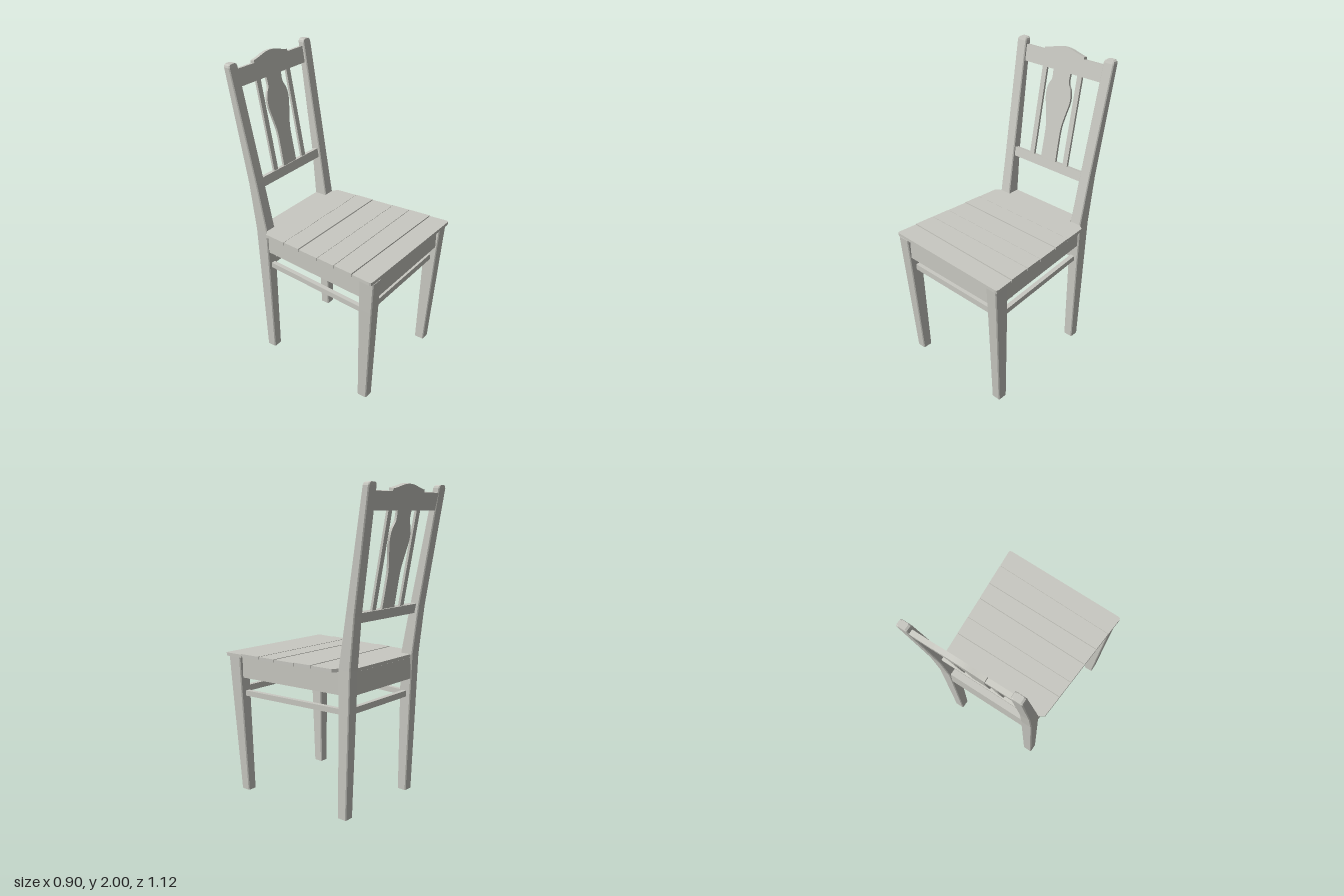
import * as THREE from 'three';

const paint = new THREE.MeshStandardMaterial({ color: 0xc9c9c2 });
paint.name = 'greyPaint';
const wood = new THREE.MeshStandardMaterial({ color: 0x6b4a2d });
wood.name = 'bareWood';

// Chamfered square post through sections [y, x0, x1, z0, z1]; side = 1 or -1 mirrors it in x
function post(name, sections, side) {
  const c = 0.006, n = 8, pos = [], index = [];
  for (const [y, a, b, z0, z1] of sections) {
    const x0 = Math.min(a * side, b * side), x1 = Math.max(a * side, b * side);
    const ring = [[x0 + c, z1], [x1 - c, z1], [x1, z1 - c], [x1, z0 + c],
      [x1 - c, z0], [x0 + c, z0], [x0, z0 + c], [x0, z1 - c]];
    for (const [x, z] of ring) pos.push(x, y, z);
  }
  const last = (sections.length - 1) * n;
  for (let s = 0; s < last; s += n) {
    for (let i = 0; i < n; i++) {
      const j = (i + 1) % n;
      index.push(s + i, s + j, s + n + j, s + i, s + n + j, s + n + i);
    }
  }
  for (let i = 1; i < n - 1; i++) index.push(last, last + i, last + i + 1);
  const painted = index.length;
  for (let i = 1; i < n - 1; i++) index.push(0, i + 1, i);
  let geo = new THREE.BufferGeometry();
  geo.setAttribute('position', new THREE.Float32BufferAttribute(pos, 3));
  geo.setIndex(index);
  geo = geo.toNonIndexed();
  geo.computeVertexNormals();
  geo.addGroup(0, painted, 0);
  geo.addGroup(painted, index.length - painted, 1); // unpainted foot
  const mesh = new THREE.Mesh(geo, [paint, wood]);
  mesh.name = name;
  return mesh;
}

// Straight bar between two [x, z] points, between heights y0 and y1
function bar(name, a, b, y0, y1, thick, bareInside = false) {
  const len = Math.hypot(b[0] - a[0], b[1] - a[1]);
  const mats = [bareInside ? wood : paint, paint, paint, paint, paint, paint];
  const mesh = new THREE.Mesh(new THREE.BoxGeometry(thick, y1 - y0, len), bareInside ? mats : paint);
  const y = (y0 + y1) / 2;
  mesh.position.set((a[0] + b[0]) / 2, y, (a[1] + b[1]) / 2);
  mesh.lookAt(b[0], y, b[1]);
  mesh.name = name;
  return mesh;
}

// Horizontal slab with an [x, z] outline
function slab(name, outline, y, height, material) {
  const shape = new THREE.Shape(outline.map(([x, z]) => new THREE.Vector2(x, -z)));
  const geo = new THREE.ExtrudeGeometry(shape, { depth: height, bevelEnabled: false });
  geo.rotateX(-Math.PI / 2);
  const mesh = new THREE.Mesh(geo, material);
  mesh.position.y = y;
  mesh.name = name;
  return mesh;
}

// Upright board whose front lies at local z = -inset
function board(name, shape, depth, inset = 0) {
  const geo = new THREE.ExtrudeGeometry(shape, { depth, bevelEnabled: false, curveSegments: 10 });
  geo.translate(0, 0, -depth - inset);
  const mesh = new THREE.Mesh(geo, paint);
  mesh.name = name;
  return mesh;
}

function rectShape(x0, x1, y0, y1) {
  return new THREE.Shape([[x0, y0], [x1, y0], [x1, y1], [x0, y1]].map(p => new THREE.Vector2(...p)));
}

function createBackPanel() {
  const panel = new THREE.Group();
  panel.name = 'backPanel';
  const lean = 0.185, base = 1.21;
  panel.position.set(0, base, -0.385);
  panel.rotation.x = -lean;
  const h = y => (y - base) / Math.cos(lean); // height to distance along the lean

  panel.add(board('lowerBackRail', rectShape(-0.3, 0.3, 0, h(1.27)), 0.03));

  // Top rail with a raised, gently curved crest
  const crest = new THREE.Shape();
  crest.moveTo(-0.325, h(1.85));
  crest.lineTo(0.325, h(1.85));
  crest.lineTo(0.325, h(1.955));
  crest.lineTo(0.157, h(1.955));
  crest.lineTo(0.157, h(1.97));
  crest.bezierCurveTo(0.08, h(1.983), 0.06, h(2), 0, h(2));
  crest.bezierCurveTo(-0.06, h(2), -0.08, h(1.983), -0.157, h(1.97));
  crest.lineTo(-0.157, h(1.955));
  crest.lineTo(-0.325, h(1.955));
  panel.add(board('topRail', crest, 0.03));

  // Vase-shaped centre splat
  const half = [[0.062, 1.26], [0.06, 1.4], [0.062, 1.5], [0.078, 1.58], [0.097, 1.66],
    [0.099, 1.71], [0.09, 1.75], [0.072, 1.78], [0.067, 1.81], [0.07, 1.86]];
  const right = new THREE.SplineCurve(half.map(([x, y]) => new THREE.Vector2(x, h(y)))).getPoints(36);
  const left = right.map(p => new THREE.Vector2(-p.x, p.y)).reverse();
  panel.add(board('centreSplat', new THREE.Shape([...right, ...left]), 0.016, 0.006));

  for (const s of [-1, 1]) {
    const x = s * 0.141;
    panel.add(board('backSlat', rectShape(x - 0.018, x + 0.018, h(1.26), h(1.86)), 0.016, 0.006));
  }
  return panel;
}

function createSeat() {
  const seat = new THREE.Group();
  seat.name = 'seat';
  const edge = z => 0.388 + (z + 0.298) * 0.0723; // half width at depth z
  const gap = 0.002;
  // Slightly skewed joints: z at the -x end, z at the +x end
  const joints = [[-0.143, -0.143], [-0.02, -0.01], [0.132, 0.146], [0.263, 0.273], [0.4, 0.424], [0.545, 0.56]];
  const lifts = [0, 0.002, -0.001, 0.001, 0.002, -0.002];

  // Rear plank fits between the back posts
  const [z0] = joints[0];
  const rear = z0 - gap;
  seat.add(slab('rearPlank', [[-edge(rear), rear], [edge(rear), rear], [0.388, -0.298], [0.352, -0.321],
    [0.272, -0.321], [0.272, -0.402], [-0.272, -0.402], [-0.272, -0.321], [-0.352, -0.321], [-0.388, -0.298]],
  0.916, 0.021, paint));

  for (let i = 1; i < joints.length; i++) {
    const [al, ar] = joints[i - 1].map(z => z + gap);
    const front = i === joints.length - 1;
    const [bl, br] = joints[i].map(z => z - (front ? 0 : gap));
    const outline = [[-edge(al), al], [edge(ar), ar]];
    if (front) {
      outline.push([edge(br), br - 0.016], [edge(br) - 0.004, br - 0.004], [edge(br) - 0.016, br],
        [-edge(bl) + 0.016, bl], [-edge(bl) + 0.004, bl - 0.004], [-edge(bl), bl - 0.016]);
    } else {
      outline.push([edge(br), br], [-edge(bl), bl]);
    }
    seat.add(slab('seatPlank', outline, 0.916 + lifts[i], 0.021, paint));
  }

  // Bare underside between the aprons
  seat.add(slab('seatUnderside', [[-0.39, 0.5], [0.39, 0.5], [0.325, -0.31], [0.265, -0.375],
    [-0.265, -0.375], [-0.325, -0.31]], 0.907, 0.007, wood));
  return seat;
}

export function createModel() {
  const chair = new THREE.Group();
  chair.name = 'chair';

  for (const s of [-1, 1]) {
    chair.add(post('frontLeg', [[0, 0.333, 0.397, 0.425, 0.492], [0.7, 0.346, 0.425, 0.442, 0.535],
      [0.914, 0.35, 0.432, 0.446, 0.549]], s));
    chair.add(post('backLeg', [[0, 0.28, 0.346, -0.375, -0.31], [0.93, 0.275, 0.355, -0.41, -0.32],
      [1.25, 0.286, 0.361, -0.445, -0.377], [1.978, 0.31, 0.384, -0.56, -0.513],
      [1.99, 0.314, 0.38, -0.561, -0.517], [1.997, 0.325, 0.369, -0.561, -0.519]], s));
    chair.add(bar('sideStretcher', [s * 0.308, -0.35], [s * 0.376, 0.47], 0.65, 0.685, 0.03));
  }
  chair.add(bar('frontStretcher', [-0.37, 0.48], [0.37, 0.48], 0.67, 0.71, 0.03));
  chair.add(bar('backStretcher', [0.3, -0.355], [-0.3, -0.355], 0.65, 0.69, 0.03));

  // Aprons run in a loop so that the bare face always points inwards
  chair.add(bar('rightApron', [-0.326, -0.35], [-0.396, 0.48], 0.775, 0.916, 0.03, true));
  chair.add(bar('frontApron', [-0.39, 0.512], [0.39, 0.512], 0.775, 0.914, 0.03, true));
  chair.add(bar('leftApron', [0.396, 0.48], [0.326, -0.35], 0.775, 0.916, 0.03, true));
  chair.add(bar('backApron', [0.3, -0.385], [-0.3, -0.385], 0.775, 0.915, 0.03, true));

  chair.add(createSeat(), createBackPanel());
  return chair;
}
